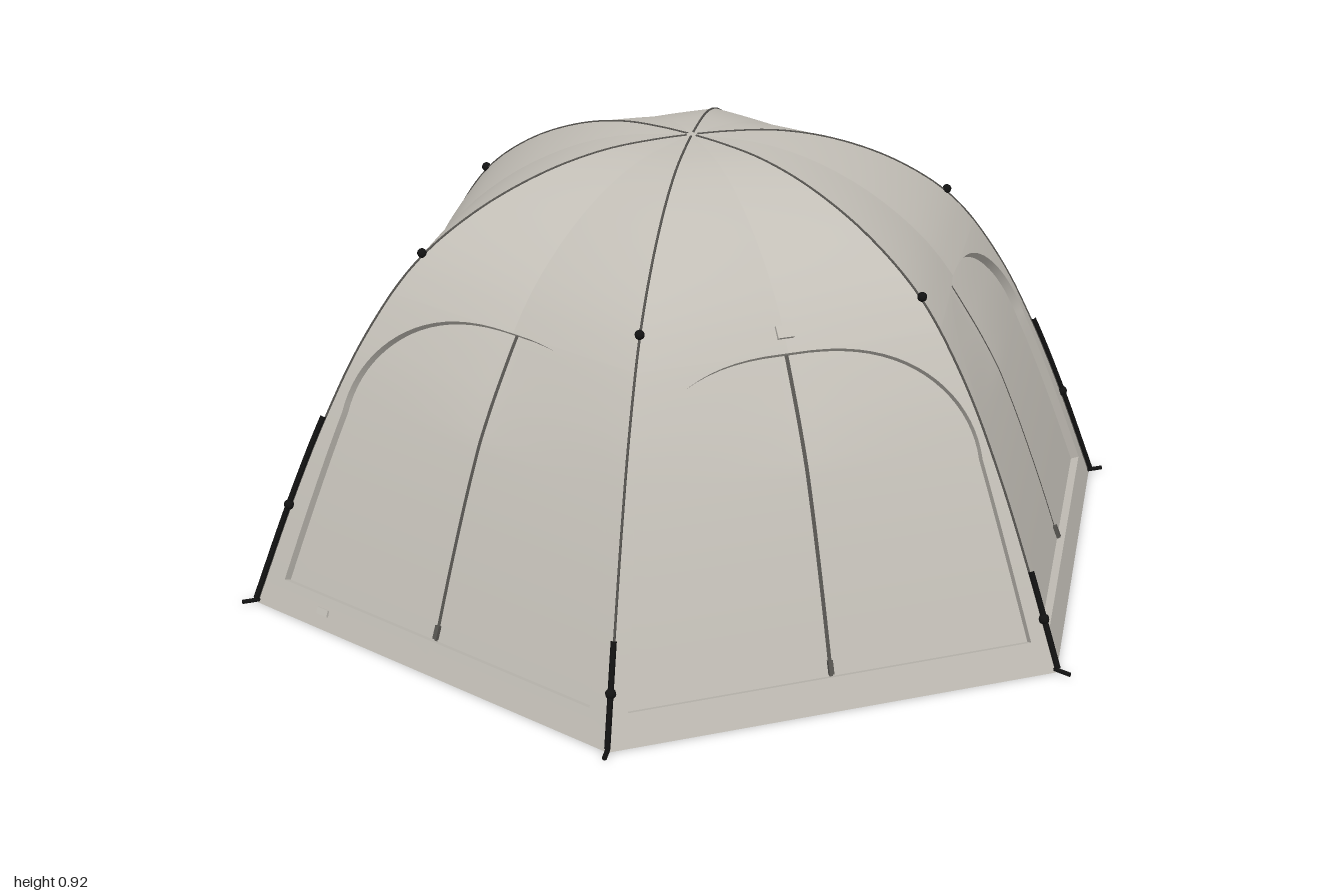
import * as THREE from 'three';
import { mergeVertices } from 'three/addons/utils/BufferGeometryUtils.js';

const fabric = new THREE.MeshStandardMaterial({ color: 0xc3bfb7, side: THREE.DoubleSide });
fabric.name = 'greyFabric';
const trim = new THREE.MeshStandardMaterial({ color: 0x55534f, side: THREE.DoubleSide });
trim.name = 'darkTrim';
const black = new THREE.MeshStandardMaterial({ color: 0x121212 });
black.name = 'blackHardware';

// Corner pole profile: x = radius, y = height
const profile = new THREE.CatmullRomCurve3([
  [0.968, 0], [0.882, 0.22], [0.803, 0.4], [0.718, 0.56], [0.605, 0.71], [0.47, 0.81],
  [0.32, 0.878], [0.19, 0.911], [0.08, 0.921], [0.001, 0.923],
].map(([r, y]) => new THREE.Vector3(r, y, 0)));

// Half angles of the front/back panels and of the four side panels
const FRONT = THREE.MathUtils.degToRad(29.3);
const SIDE = (Math.PI / 2 - FRONT) / 2;

function tAt(y) {
  let lo = 0, hi = 1;
  for (let i = 0; i < 30; i++) {
    const mid = (lo + hi) / 2;
    if (profile.getPoint(mid).y < y) lo = mid; else hi = mid;
  }
  return lo;
}

// Outward normal in the profile plane (x = outward, y = up)
function normalAt(t) {
  const d = profile.getTangent(t);
  return new THREE.Vector2(d.y, -d.x).normalize();
}

// Point on a panel facing +z, x across, moved out along the normal by lift
function panelPoint(angle, t, x, lift = 0) {
  const p = profile.getPoint(t), n = normalAt(t), half = p.x * Math.sin(angle);
  const u = Math.min(1, Math.abs(x) / half);
  const k = THREE.MathUtils.clamp((p.y - 0.45) / 0.48, 0, 1);
  const sag = 0.012 * Math.sin(Math.PI * k) * Math.pow(1 - u, 2);
  return new THREE.Vector3(x, p.y + n.y * (lift - sag), p.x * Math.cos(angle) + n.x * (lift - sag));
}

// Smooth surface from a grid of points
function grid(rows, cols, point) {
  const pos = [], index = [];
  for (let i = 0; i < rows; i++) {
    for (let j = 0; j < cols; j++) {
      pos.push(...point(i, j / (cols - 1)).toArray());
      if (i < rows - 1 && j < cols - 1) {
        const a = i * cols + j, b = a + cols;
        index.push(a, a + 1, b, a + 1, b + 1, b);
      }
    }
  }
  const g = new THREE.BufferGeometry();
  g.setAttribute('position', new THREE.Float32BufferAttribute(pos, 3));
  g.setIndex(index);
  const merged = mergeVertices(g, 1e-5);
  merged.computeVertexNormals();
  return merged;
}

function add(parent, name, geometry, material) {
  const m = new THREE.Mesh(geometry, material);
  m.name = name;
  parent.add(m);
  return m;
}

// Door outline rows: t on the profile and half width e
const doorRows = [];
for (let i = 0; i < 8; i++) {
  const k = i / 8;
  doorRows.push({ t: tAt(0.065 + 0.355 * k), e: 0.425 - 0.06 * k });
}
for (let i = 0; i <= 20; i++) {
  const a = (i / 20) * Math.PI / 2;
  doorRows.push({ t: tAt(0.42 + 0.235 * Math.sin(a)), e: 0.365 * Math.pow(Math.max(0, Math.cos(a)), 0.8) });
}
const hemRows = [0, 0.03, 0.065].map((y) => ({ t: tAt(y), e: 0 }));
const roofRows = [];
const t0 = tAt(0.655);
for (let i = 0; i <= 20; i++) roofRows.push({ t: t0 + (1 - t0) * i / 20, e: 0 });
const wallRows = [...hemRows, ...doorRows, ...roofRows];
const depth = 0.018;

// Outline of the door opening: sides and arch, then the sill
const archOutline = [
  ...doorRows.map((r) => [r.t, r.e]),
  ...doorRows.slice(0, -1).reverse().map((r) => [r.t, -r.e]),
];
const sillOutline = [-1, 1].map((s) => [doorRows[0].t, s * doorRows[0].e]);

function makePanel(angle) {
  const g = new THREE.Group();
  // Wall, one half on each side of the opening
  for (const s of [-1, 1]) {
    add(g, s < 0 ? 'wallRight' : 'wallLeft', grid(wallRows.length, 13, (i, k) => {
      const { t, e } = wallRows[i], half = profile.getPoint(t).x * Math.sin(angle);
      const x = s > 0 ? e + (half - e) * k : -half + (half - e) * k;
      return panelPoint(angle, t, x);
    }), fabric);
  }
  // Recessed door and the reveal around it
  add(g, 'door', grid(doorRows.length, 21, (i, k) => {
    const { t, e } = doorRows[i];
    return panelPoint(angle, t, e * (2 * k - 1), -depth);
  }), fabric);
  for (const [name, line] of [['doorReveal', archOutline], ['doorSill', sillOutline]]) {
    add(g, name, grid(line.length, 2, (i, k) =>
      panelPoint(angle, line[i][0], line[i][1], -depth * k)), fabric);
  }
  // Centre zip and its pull
  add(g, 'zip', grid(doorRows.length, 2, (i, k) =>
    panelPoint(angle, doorRows[i].t, 0.008 * (k - 0.5), 0.003 - depth)), trim);
  const pull = add(g, 'zipPull', new THREE.BoxGeometry(0.01, 0.028, 0.008), trim);
  place(pull, angle, 0.082, 0, -depth + 0.005);
  return g;
}

// Lay a small part flat on the panel
function place(mesh, angle, y, x, lift) {
  const t = tAt(y), n = normalAt(t);
  mesh.position.copy(panelPoint(angle, t, x, lift));
  mesh.rotation.x = -Math.atan2(n.y, n.x);
}

// Curve along the corner pole, in the plane facing +z
function poleCurve(ta, tb, lift) {
  const pts = [];
  for (let i = 0; i <= 24; i++) {
    const t = ta + (tb - ta) * i / 24, p = profile.getPoint(t), n = normalAt(t);
    pts.push(new THREE.Vector3(0, p.y + n.y * lift, p.x + n.x * lift));
  }
  return new THREE.CatmullRomCurve3(pts);
}

function makeCorner(strapTop, hubHeight) {
  const g = new THREE.Group();
  add(g, 'poleSeam', new THREE.TubeGeometry(poleCurve(0.003, 0.985, 0), 60, 0.0025, 6), trim);
  add(g, 'cornerStrap', new THREE.TubeGeometry(poleCurve(tAt(0.008), tAt(strapTop), 0.006), 20, 0.006, 6), black);
  // Round hub and strap buckle
  for (const [name, y, r] of [['poleHub', hubHeight, 0.01], ['strapBuckle', strapTop * 0.53, 0.011]]) {
    const p = poleCurve(tAt(y), tAt(y + 0.01), 0.005).getPoint(0);
    add(g, name, new THREE.SphereGeometry(r, 10, 8), black).position.copy(p);
  }
  // Ground peg
  const peg = add(g, 'groundPeg', new THREE.CylinderGeometry(0.005, 0.005, 0.05, 6), black);
  peg.rotation.x = Math.PI / 2;
  peg.position.set(0, 0.006, 0.975);
  return g;
}

export function createModel() {
  const model = new THREE.Group();
  model.name = 'domeTent';
  // Panels by direction they face, counted from the front towards +x
  const turn = FRONT + SIDE;
  const directions = [0, turn, Math.PI - turn, Math.PI, Math.PI + turn, -turn];
  directions.forEach((direction, k) => {
    const angle = k % 3 === 0 ? FRONT : SIDE;
    const panel = makePanel(angle);
    panel.name = 'panel' + (k + 1);
    panel.rotation.y = direction;
    model.add(panel);
    // Small blank fabric tags on the front panel and its right neighbour
    if (k === 0) place(add(panel, 'frontTag', new THREE.BoxGeometry(0.034, 0.026, 0.008), fabric), angle, 0.69, 0, 0.004);
    if (k === 5) place(add(panel, 'hemTag', new THREE.BoxGeometry(0.03, 0.014, 0.006), fabric), angle, 0.035, -0.3, 0.002);

    // Corner on the far side of each panel
    const side = k === 1 || k === 4;
    const corner = makeCorner(side ? 0.4 : 0.2, side ? 0.73 : 0.712);
    corner.name = 'corner' + (k + 1);
    corner.rotation.y = direction + angle;
    model.add(corner);
  });
  return model;
}
